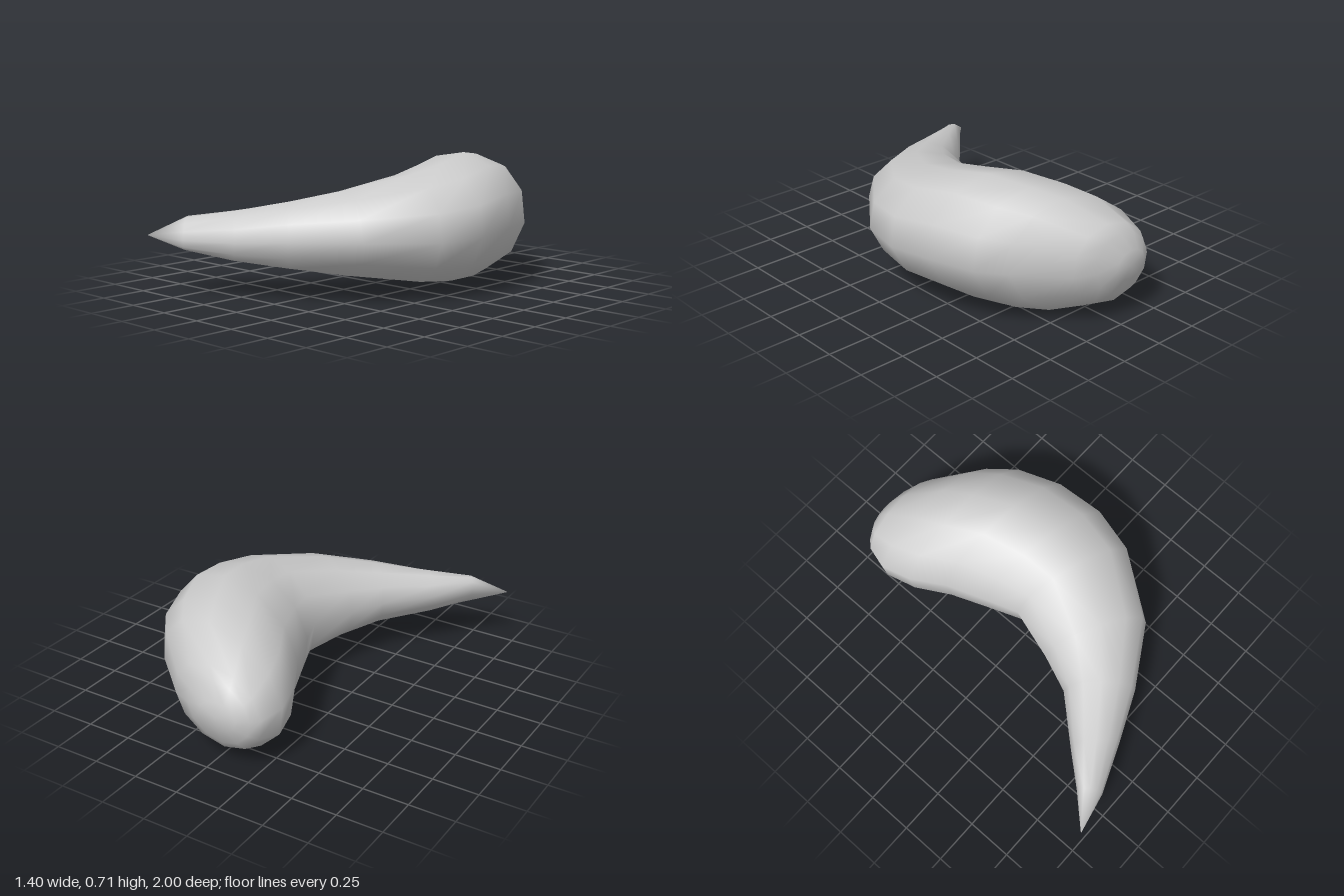
import * as THREE from 'three';

// Cross-sections from the rounded back end to the pointed front:
// [inner x, inner z, outer x, outer z, bottom y, top y, tilt, lean]
// tilt raises the outer edge, lean pushes the top outward and the bottom inward
const SECTIONS = [
  [-0.17, -0.985, 0.04, -0.995, 0.23, 0.39, 0.00, 0.05],
  [-0.23, -0.95, 0.14, -0.95, 0.14, 0.48, 0.00, 0.10],
  [-0.27, -0.91, 0.25, -0.90, 0.085, 0.53, 0.00, 0.13],
  [-0.31, -0.78, 0.48, -0.69, 0.01, 0.645, 0.00, 0.16],
  [-0.27, -0.61, 0.59, -0.55, 0.00, 0.68, -0.01, 0.16],
  [-0.17, -0.42, 0.67, -0.31, 0.005, 0.71, -0.02, 0.16],
  [-0.09, -0.20, 0.70, -0.05, 0.03, 0.67, -0.03, 0.15],
  [-0.03, -0.03, 0.64, 0.20, 0.06, 0.63, -0.03, 0.12],
  [-0.11, 0.24, 0.40, 0.52, 0.11, 0.56, -0.01, 0.06],
  [-0.19, 0.44, 0.07, 0.72, 0.15, 0.50, -0.01, 0.00],
  [-0.40, 0.67, -0.20, 0.84, 0.19, 0.445, -0.02, 0.00],
  [-0.55, 0.84, -0.47, 0.95, 0.245, 0.405, -0.03, 0.00],
];
const BACK_POLE = [-0.06, 0.31, -1.0];
const TIP = [-0.70, 0.305, 1.0];
const SIDES = 12;

// Lofts leaning elliptical rings and closes both ends with a pole
function loftHorn() {
  const pos = [];
  const index = [];
  for (const [ix, iz, ox, oz, bottom, top, tilt, lean] of SECTIONS) {
    for (let j = 0; j < SIDES; j++) {
      const a = (j / SIDES) * Math.PI * 2;
      const c = Math.cos(a);
      const s = Math.sin(a);
      const across = c + lean * s;
      pos.push(
        (ix + ox) / 2 + ((ox - ix) / 2) * across,
        (bottom + top) / 2 + ((top - bottom) / 2) * s + tilt * c,
        (iz + oz) / 2 + ((oz - iz) / 2) * across
      );
    }
  }
  const rings = SECTIONS.length;
  const back = rings * SIDES;
  const tip = back + 1;
  pos.push(...BACK_POLE, ...TIP);
  for (let j = 0; j < SIDES; j++) {
    const k = (j + 1) % SIDES;
    index.push(back, k, j);
    for (let i = 0; i < rings - 1; i++) {
      const a = i * SIDES;
      const b = a + SIDES;
      index.push(a + j, a + k, b + j, a + k, b + k, b + j);
    }
    const last = (rings - 1) * SIDES;
    index.push(tip, last + j, last + k);
  }
  const geometry = new THREE.BufferGeometry();
  geometry.setAttribute('position', new THREE.Float32BufferAttribute(pos, 3));
  geometry.setIndex(index);
  geometry.computeVertexNormals();
  return geometry;
}

export function createModel() {
  const group = new THREE.Group();
  group.name = 'curvedHorn';
  const material = new THREE.MeshStandardMaterial({ color: 0xcccccc });
  const body = new THREE.Mesh(loftHorn(), material);
  body.name = 'hornBody';
  group.add(body);
  return group;
}
